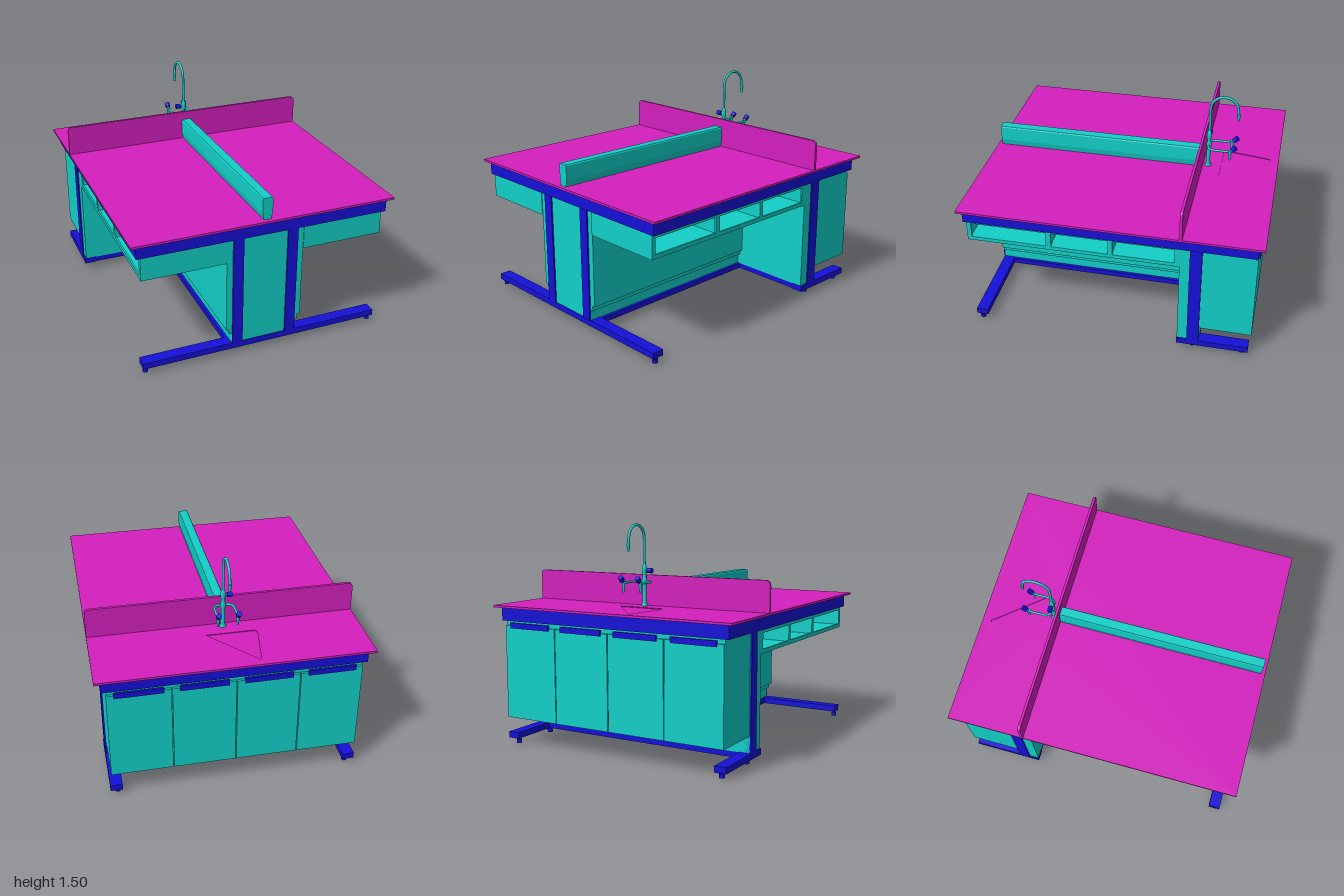
import * as THREE from 'three';

const mat = (color) => new THREE.MeshStandardMaterial({ color, side: THREE.DoubleSide });

export function createModel() {
  const root = new THREE.Group();
  const pink = mat(0xd41fbe), blue = mat(0x1510d8), teal = mat(0x12d0c8);

  const add = (name, geo, m, parent = root) => {
    const mesh = new THREE.Mesh(geo, m);
    mesh.name = name;
    parent.add(mesh);
    return mesh;
  };
  // Box given by its min and max along each axis
  const box = (name, m, x0, x1, y0, y1, z0, z1, parent = root) => {
    const mesh = add(name, new THREE.BoxGeometry(Math.abs(x1 - x0), y1 - y0, z1 - z0), m, parent);
    mesh.position.set((x0 + x1) / 2, (y0 + y1) / 2, (z0 + z1) / 2);
    return mesh;
  };
  const cyl = (name, m, r0, r1, h, x, y, z, parent = root) => {
    const mesh = add(name, new THREE.CylinderGeometry(r0, r1, h, 16), m, parent);
    mesh.position.set(x, y, z);
    return mesh;
  };
  const tube = (name, pts, r, parent) => add(name, new THREE.TubeGeometry(
    new THREE.CatmullRomCurve3(pts.map((p) => new THREE.Vector3(...p))), 40, r, 12), teal, parent);
  const rectPath = (x0, y0, x1, y1, Type = THREE.Path) => {
    const p = new Type();
    p.moveTo(x0, y0); p.lineTo(x1, y0); p.lineTo(x1, y1); p.lineTo(x0, y1); p.closePath();
    return p;
  };
  const flat = (shape, depth) => new THREE.ExtrudeGeometry(shape, { depth, bevelEnabled: false, curveSegments: 8 });

  // Worktop with a shallow three-cornered basin
  const basin = (Type) => {
    const p = new Type();
    p.moveTo(0.13, 0.61); p.lineTo(-0.18, 0.61);
    p.quadraticCurveTo(-0.21, 0.61, -0.205, 0.65);
    p.lineTo(-0.16, 0.92);
    p.quadraticCurveTo(-0.15, 0.96, -0.13, 0.92);
    p.closePath();
    return p;
  };
  const topShape = rectPath(-0.895, -1, 0.895, 1, THREE.Shape);
  topShape.holes.push(basin(THREE.Path));
  const top = add('worktop', flat(topShape, 0.015), pink);
  top.rotation.x = -Math.PI / 2;
  top.position.y = 0.94;
  const floor = add('basinFloor', flat(basin(THREE.Shape), 0.008), pink);
  floor.rotation.x = -Math.PI / 2;
  floor.position.y = 0.942;

  // Splash panel with rounded upper corners
  const splash = new THREE.Shape();
  splash.moveTo(-0.895, 0.955); splash.lineTo(0.895, 0.955); splash.lineTo(0.895, 1.125);
  splash.quadraticCurveTo(0.895, 1.16, 0.86, 1.16);
  splash.lineTo(-0.86, 1.16);
  splash.quadraticCurveTo(-0.895, 1.16, -0.895, 1.125);
  add('splashPanel', flat(splash, 0.018), pink).position.z = -0.485;

  // Cable channel along the middle of the worktop
  const channel = new THREE.Shape([
    [-0.025, 0.955], [0.025, 0.955], [0.035, 1], [0.035, 1.095],
    [0.03, 1.103], [-0.03, 1.103], [-0.035, 1.095], [-0.035, 1],
  ].map(([x, y]) => new THREE.Vector2(x, y)));
  add('cableChannel', flat(channel, 1.433), teal).position.z = -0.463;

  // Apron frame under the worktop
  const apron = new THREE.Group();
  apron.name = 'apron';
  root.add(apron);
  box('frontRail', blue, -0.855, 0.855, 0.85, 0.94, 0.92, 0.97, apron);
  box('backRail', blue, -0.855, 0.855, 0.85, 0.94, -0.96, -0.91, apron);

  // Central body, stepped inwards at its foot, and the blue floor
  box('bodyUpper', teal, -0.265, 0.265, 0.19, 0.85, -0.47, 0.955);
  box('bodyStep', teal, -0.245, 0.245, 0.155, 0.19, -0.47, 0.955);
  box('bodyLower', teal, -0.225, 0.225, 0.08, 0.155, -0.47, 0.955);
  box('bodyFloor', blue, -0.245, 0.245, 0.042, 0.08, -0.47, 0.9);
  box('serviceBox', teal, -0.828, 0.828, 0.08, 0.85, -0.61, -0.463);
  box('crossFloor', blue, -0.828, 0.828, 0.042, 0.08, -0.61, -0.463);
  box('frontFoot', blue, -0.833, 0.833, 0.04, 0.082, 0.88, 0.96);

  // Sink cabinet with four doors and pulls
  box('sinkCabinet', teal, -0.825, 0.825, 0.19, 0.85, -0.945, -0.61);
  for (let i = 0; i < 4; i++) {
    const x = -0.828 + i * 0.414;
    box('cabinetDoor', teal, x + 0.003, x + 0.411, 0.19, 0.82, -0.96, -0.943);
    box('doorPull', blue, x + 0.05, x + 0.364, 0.803, 0.84, -0.97, -0.955);
  }

  for (const s of [-1, 1]) {
    box('sideRail', blue, s * 0.805, s * 0.855, 0.85, 0.94, -0.91, 0.92, apron);

    // Posts and feet
    box('frontPost', blue, s * 0.152, s * 0.223, 0.08, 0.85, 0.925, 0.965);
    box('sidePost', blue, s * 0.79, s * 0.836, 0.08, 0.85, -0.61, -0.53);
    box('rearFoot', blue, s * 0.755, s * 0.836, 0.04, 0.082, -0.945, -0.46);
    for (const [x, z] of [[0.81, 0.925], [0.785, -0.565], [0.785, -0.9]]) {
      cyl('footPad', blue, 0.018, 0.018, 0.025, s * x, 0.0125, z);
      cyl('footStem', blue, 0.012, 0.012, 0.03, s * x, 0.03, z);
    }

    // Open shelf boxes facing outwards
    const shelf = new THREE.Group();
    shelf.name = 'shelfBox';
    root.add(shelf);
    const face = rectPath(-0.96, 0.69, 0.463, 0.85, THREE.Shape);
    for (const [a, b] of [[-0.93, -0.42], [-0.385, -0.005], [0.025, 0.43]]) {
      face.holes.push(rectPath(a, 0.717, b, 0.822));
    }
    const frame = add('shelfFace', flat(face, 0.012), teal, shelf);
    frame.rotation.y = Math.PI / 2;
    frame.position.x = s > 0 ? 0.816 : -0.828;
    box('shelfBottom', teal, s * 0.265, s * 0.816, 0.69, 0.712, -0.463, 0.96, shelf);
    box('shelfTop', teal, s * 0.265, s * 0.816, 0.83, 0.85, -0.463, 0.96, shelf);
    for (const z of [0.95, 0.4025, -0.01, -0.45]) {
      box('shelfDivider', teal, s * 0.265, s * 0.816, 0.69, 0.85, z - 0.01, z + 0.01, shelf);
    }
  }

  // Gooseneck tap with two side outlets
  const tap = new THREE.Group();
  tap.name = 'tap';
  root.add(tap);
  const z0 = -0.52;
  const profile = [[0.022, 0.955], [0.022, 0.965], [0.014, 0.972], [0.013, 1.09], [0.018, 1.1],
    [0.018, 1.13], [0.012, 1.14], [0.012, 1.165], [0.017, 1.175], [0.017, 1.21], [0.01, 1.23]];
  add('tapColumn', new THREE.LatheGeometry(profile.map((p) => new THREE.Vector2(...p)), 16), teal, tap)
    .position.z = z0;
  const neck = [[0, 1.2, z0], [0, 1.3, z0], [0, 1.39, z0]];
  for (let i = 1; i <= 8; i++) {
    const a = Math.PI * (1 - i / 8);
    neck.push([0, 1.4 + 0.095 * Math.sin(a), -0.615 - 0.095 * Math.cos(a + Math.PI)]);
  }
  // The arc runs from the column backwards and then down to the spout
  neck.splice(3, 8, ...Array.from({ length: 8 }, (_, i) => {
    const a = Math.PI * (i + 1) / 8;
    return [0, 1.4 + 0.093 * Math.sin(a), -0.613 + 0.093 * Math.cos(a)];
  }));
  neck.push([0, 1.37, -0.708]);
  tube('gooseneck', neck, 0.009, tap);
  cyl('spout', teal, 0.013, 0.007, 0.05, 0, 1.35, -0.71, tap);
  const sideKnob = cyl('sideKnob', blue, 0.017, 0.017, 0.035, -0.043, 1.19, z0, tap);
  sideKnob.rotation.z = Math.PI / 2;
  tube('sideKnobStem', [[0, 1.19, z0], [-0.04, 1.19, z0]], 0.007, tap);
  for (const s of [-1, 1]) {
    tube('sideArm', [[0, 1.117, z0], [s * 0.04, 1.117, -0.522], [s * 0.062, 1.117, -0.545],
      [s * 0.065, 1.117, -0.6], [s * 0.065, 1.117, -0.675]], 0.008, tap);
    cyl('outlet', teal, 0.013, 0.006, 0.075, s * 0.065, 1.09, -0.672, tap);
    tube('valveStem', [[s * 0.065, 1.115, -0.672], [s * 0.065, 1.14, -0.695]], 0.009, tap);
    const knob = cyl('valveKnob', blue, 0.018, 0.018, 0.032, s * 0.065, 1.143, -0.698, tap);
    knob.rotation.x = -Math.PI / 4;
  }
  return root;
}
